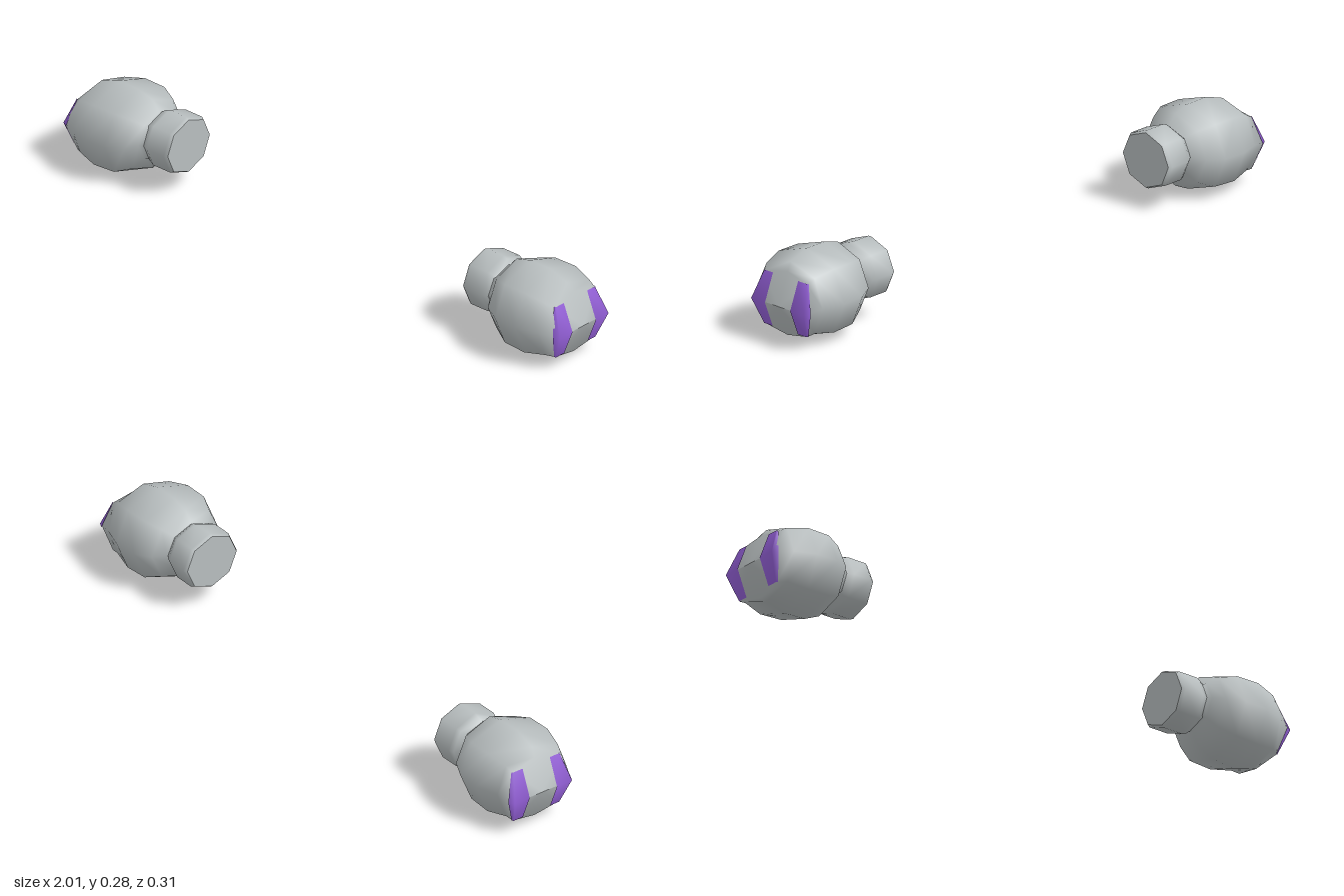
import * as THREE from 'three';

const grey = new THREE.MeshStandardMaterial({ color: 0xb8bebf });
grey.name = 'paleGrey';
const purple = new THREE.MeshStandardMaterial({ color: 0x9460d8 });
purple.name = 'purple';

const SIDES = 8;
const RIDGE_Y = 0.13;
// the knuckle end is a wedge whose crest runs along z
const wedgeX = (y) => 1 - 0.4 * Math.abs(y - RIDGE_Y);

// Joins a grid of points (rows of equal length) into a smooth surface; side -1 mirrors it in x
function surface(rows, side, closed) {
  const n = rows[0].length, index = [];
  for (let i = 0; i < rows.length - 1; i++) {
    for (let j = 0; j < (closed ? n : n - 1); j++) {
      const k = (j + 1) % n;
      const a = i * n + j, b = (i + 1) * n + j, c = (i + 1) * n + k, d = i * n + k;
      if (side > 0) index.push(a, b, d, b, c, d);
      else index.push(a, d, b, b, d, c);
    }
  }
  const geo = new THREE.BufferGeometry();
  const pos = rows.flat().flatMap(([x, y, z]) => [x * side, y, z]);
  geo.setAttribute('position', new THREE.Float32BufferAttribute(pos, 3));
  geo.setIndex(index);
  geo.computeVertexNormals();
  return geo;
}

// Eight-sided ring: x (null = follow the wedge), centre y, half height, half depth, diagonal fullness, centre z
function ring([x, cy, ry, rz, full = 1, cz = 0]) {
  return Array.from({ length: SIDES }, (_, j) => {
    const a = (j / SIDES) * Math.PI * 2, f = j % 2 ? full : 1;
    const y = cy + Math.sin(a) * ry * f;
    return [x === null ? wedgeX(y) : x, y, cz + Math.cos(a) * rz * f];
  });
}

const fistRings = [
  [0.69, 0.155, 0.07, 0.08],
  [0.71, 0.155, 0.08, 0.092],
  [0.735, 0.148, 0.116, 0.128],
  [0.79, 0.143, 0.136, 0.155, 1.03],
  [0.87, 0.141, 0.139, 0.157, 1.03],
  [0.94, 0.139, 0.118, 0.132, 1.06],
  [null, RIDGE_Y, 0.102, 0.108, 1.16, -0.006],
  [null, RIDGE_Y, 0, 0, 1, -0.006],
];
const cuffRings = [
  [0.597, 0.155, 0.088, 0.094, 1, -0.008],
  [0.608, 0.155, 0.094, 0.101, 1, -0.008],
  [0.675, 0.155, 0.094, 0.101, 1, -0.008],
  [0.69, 0.155, 0.088, 0.094, 1, -0.008],
  [0.708, 0.155, 0.074, 0.084, 1, -0.004],
];
const cuffEnd = [[0.597, 0.155, 0, 0, 1, -0.008], cuffRings[0]];

// Thin stripe over the wedge, wrapping slightly round the fist's side
function stripeRows(dir) {
  const row = (y, edge, wrap, wrapBack) => [
    [wedgeX(y) + 0.003, y, 0.052],
    [wedgeX(y) + 0.003, y, edge],
    [wedgeX(y) - wrapBack, y, wrap],
  ].map(([x, yy, z]) => [x, yy, dir * z - 0.006]);
  return [row(0.046, 0.087, 0.091, 0.002), row(RIDGE_Y, 0.109, 0.119, 0.016), row(0.217, 0.087, 0.091, 0.002)];
}

export function createModel() {
  const model = new THREE.Group();
  model.name = 'pairOfFists';
  for (const side of [1, -1]) {
    const hand = new THREE.Group();
    hand.name = side > 0 ? 'leftHand' : 'rightHand';
    const add = (name, geo, mat) => {
      const mesh = new THREE.Mesh(geo, mat);
      mesh.name = name;
      hand.add(mesh);
    };
    add('fist', surface(fistRings.map(ring), side, true), grey);
    add('cuff', surface(cuffRings.map(ring), side, true), grey);
    add('cuffEnd', surface(cuffEnd.map(ring), side, true), grey);
    // rows climb in y and columns run outward, so the two stripes wind oppositely
    for (const dir of [1, -1]) {
      const rows = stripeRows(dir);
      if (dir > 0) rows.reverse();
      const geo = surface(rows, -side, false);
      geo.scale(-1, 1, 1);
      flip(geo);
      add(dir > 0 ? 'frontStripe' : 'backStripe', geo, purple);
    }
    model.add(hand);
  }
  return model;
}

// Makes every stripe face point away from the model's middle
function flip(geo) {
  const p = geo.attributes.position, idx = geo.index;
  const at = (i) => new THREE.Vector3().fromBufferAttribute(p, idx.getX(i));
  const hub = new THREE.Vector3(Math.sign(p.getX(0)) * 0.85, 0.14, 0);
  for (let i = 0; i < idx.count; i += 3) {
    const a = at(i), n = at(i + 1).sub(a).cross(at(i + 2).sub(a));
    if (n.dot(a.sub(hub)) < 0) {
      const t = idx.getX(i + 1);
      idx.setX(i + 1, idx.getX(i + 2));
      idx.setX(i + 2, t);
    }
  }
  geo.computeVertexNormals();
}
